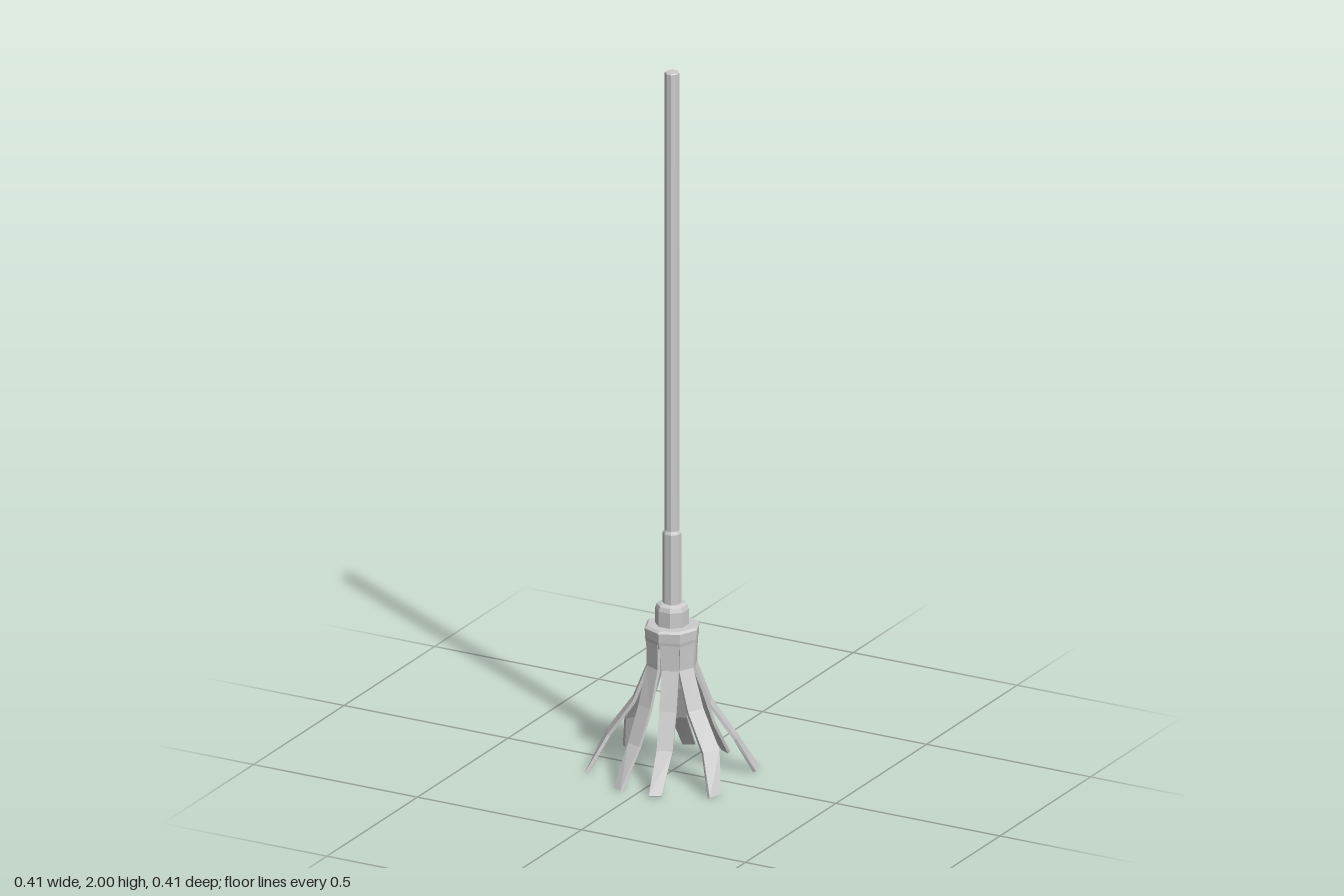
import * as THREE from 'three';

const material = new THREE.MeshStandardMaterial({ color: 0xcccccc, flatShading: true, side: THREE.DoubleSide });

// Eight-sided turned part from [radius, y] points, listed bottom to top
function turned(name, points, phase) {
  const profile = points.map(([r, y]) => new THREE.Vector2(r, y));
  const mesh = new THREE.Mesh(new THREE.LatheGeometry(profile, 8, phase), material);
  mesh.name = name;
  return mesh;
}

// Strip stations, top to bottom: y, then the two outer corners as x, z
const sideStrip = [
  [0.40, 0.073, 0.003, 0.053, 0.050],
  [0.31, 0.068, 0.006, 0.049, 0.049],
  [0.205, 0.107, 0.020, 0.085, 0.065],
  [0.108, 0.171, 0.047, 0.146, 0.092],
  [0.004, 0.203, 0.096, 0.191, 0.137],
];
const frontStrip = [
  [0.40, 0.050, 0.053, 0.003, 0.073],
  [0.31, 0.049, 0.051, 0.006, 0.069],
  [0.205, 0.058, 0.081, 0.014, 0.096],
  [0.108, 0.068, 0.120, 0.027, 0.134],
  [0.004, 0.073, 0.190, 0.043, 0.207],
];

// Bent flat strip with a thin rectangular section, mirrored by sx and sz
function strip(name, stations, sx, sz) {
  const thickness = 0.009;
  const outer = stations.map(([y, ax, az, bx, bz]) => [
    new THREE.Vector3(ax, y, az), new THREE.Vector3(bx, y, bz)]);
  const middle = outer.map(([a, b]) => a.clone().add(b).multiplyScalar(0.5));
  const positions = [], indices = [];
  outer.forEach(([a, b], i) => {
    const along = middle[Math.min(i + 1, middle.length - 1)].clone().sub(middle[Math.max(i - 1, 0)]);
    const inward = along.cross(b.clone().sub(a)).normalize();
    if (inward.dot(new THREE.Vector3(middle[i].x, 0, middle[i].z)) > 0) inward.negate();
    inward.multiplyScalar(thickness);
    const section = [a, b, b.clone().add(inward), a.clone().add(inward)];
    for (const p of section) positions.push(p.x * sx, Math.max(p.y, 0), p.z * sz);
  });
  const quad = (a, b, c, d) => {
    if (sx * sz > 0) indices.push(a, b, c, a, c, d);
    else indices.push(a, c, b, a, d, c);
  };
  const last = (stations.length - 1) * 4;
  for (let i = 0; i < last; i += 4) {
    for (let k = 0; k < 4; k++) {
      const n = (k + 1) % 4;
      quad(i + k, i + n, i + 4 + n, i + 4 + k);
    }
  }
  quad(3, 2, 1, 0);
  quad(last, last + 1, last + 2, last + 3);
  const geometry = new THREE.BufferGeometry();
  geometry.setAttribute('position', new THREE.Float32BufferAttribute(positions, 3));
  geometry.setIndex(indices);
  geometry.computeVertexNormals();
  const mesh = new THREE.Mesh(geometry, material);
  mesh.name = name;
  return mesh;
}

export function createModel() {
  const model = new THREE.Group();
  model.name = 'mop';
  const flat = Math.PI / 8;

  // Pole, sleeve, collar and the octagonal head
  model.add(turned('pole', [[0, 0.66], [0.0195, 0.66], [0.0195, 1.997], [0.017, 2], [0, 2]], flat));
  model.add(turned('sleeve', [[0, 0.47], [0.0255, 0.47], [0.0255, 0.682], [0.021, 0.69], [0, 0.69]], flat));
  model.add(turned('collar', [[0, 0.41], [0.0455, 0.41], [0.0455, 0.466], [0.041, 0.478], [0.031, 0.483], [0, 0.483]], flat));
  model.add(turned('head', [[0, 0.37], [0.071, 0.37], [0.075, 0.39], [0.076, 0.416], [0.069, 0.422], [0, 0.424]], 0));

  // Eight splayed strips, mirrored into each quarter
  const strips = new THREE.Group();
  strips.name = 'strips';
  for (const sx of [1, -1]) {
    for (const sz of [1, -1]) {
      strips.add(strip('sideStrip', sideStrip, sx, sz));
      strips.add(strip(sz > 0 ? 'frontStrip' : 'backStrip', frontStrip, sx, sz));
    }
  }
  model.add(strips);
  return model;
}
